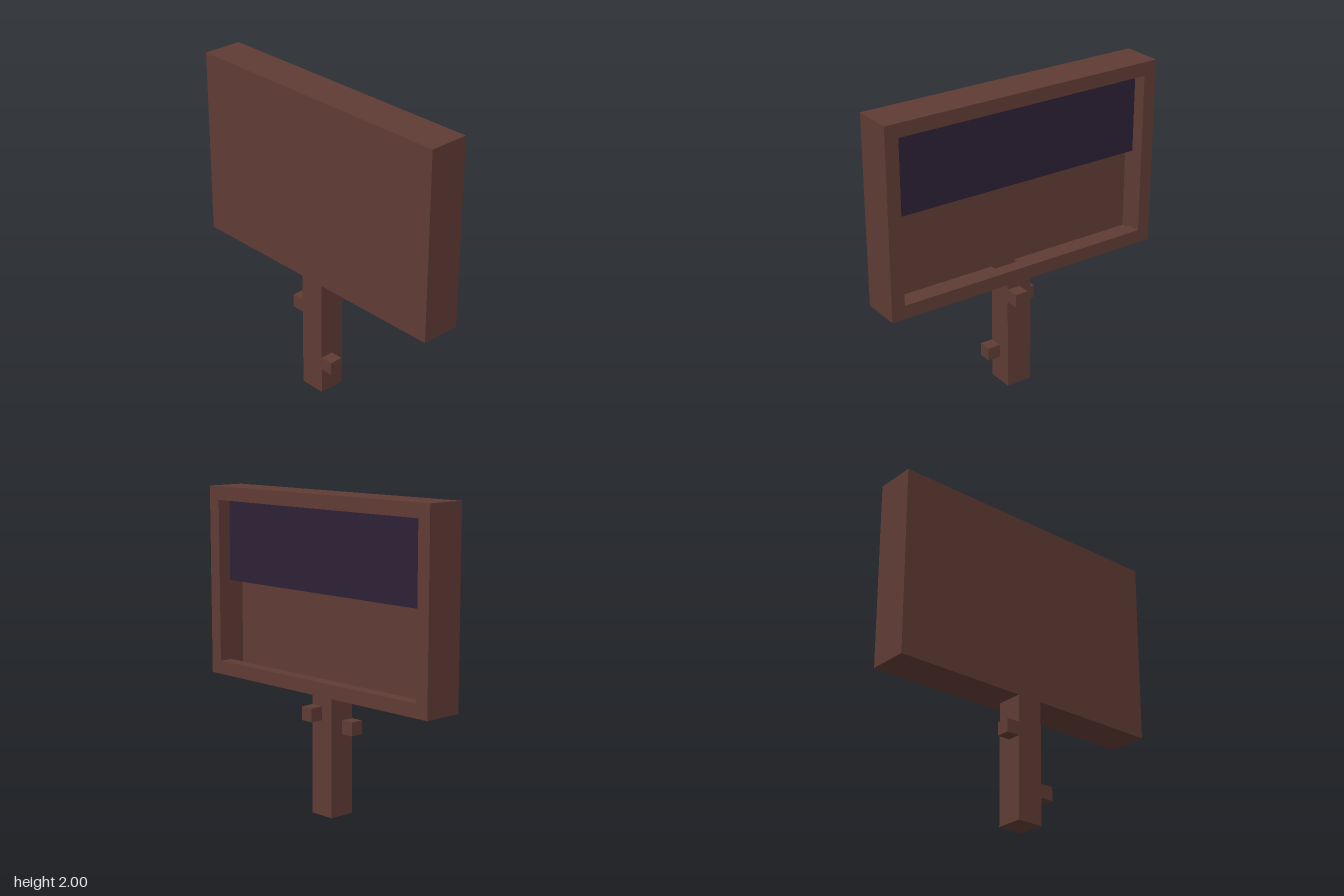
import * as THREE from 'three';

const U = 2 / 23; // one block; parts are laid out in blocks, x 0..3, y 0..23, z -11..11
const RIGHT = 0, BACK = 1, TOP = 2, BOTTOM = 3; // box faces: +x, -x, +y, -y

export function createModel() {
  const wood = new THREE.MeshStandardMaterial({ color: 0x5f3b34, side: THREE.DoubleSide });
  wood.name = 'brownWood';
  const dark = new THREE.MeshStandardMaterial({ color: 0x2d2135, side: THREE.DoubleSide });
  dark.name = 'darkPurple';

  const model = new THREE.Group();
  model.name = 'signboard';

  const add = (name, geometry, material) => {
    geometry.translate(-1.5, 0, 0).scale(U, U, U);
    const mesh = new THREE.Mesh(geometry, material);
    mesh.name = name;
    model.add(mesh);
  };

  // Box between two corners, leaving out the listed faces
  const box = ([x0, y0, z0], [x1, y1, z1], open = []) => {
    const g = new THREE.BoxGeometry(x1 - x0, y1 - y0, z1 - z0);
    g.translate((x0 + x1) / 2, (y0 + y1) / 2, (z0 + z1) / 2);
    const index = Array.from(g.index.array);
    g.setIndex(index.filter((_, i) => !open.includes(Math.floor(i / 6))));
    g.clearGroups();
    return g;
  };

  // Flat sheet with a rectangular hole; rectangles are [u0, v0, u1, v1]
  const rect = (Type, [u0, v0, u1, v1]) => new Type([
    new THREE.Vector2(u0, v0), new THREE.Vector2(u1, v0),
    new THREE.Vector2(u1, v1), new THREE.Vector2(u0, v1),
  ]);
  const sheet = (outer, hole) => {
    const shape = rect(THREE.Shape, outer);
    shape.holes.push(rect(THREE.Path, hole));
    return new THREE.ShapeGeometry(shape);
  };

  // Hollow board: back and outer walls, open towards +x
  add('boardShell', box([0, 9, -11], [3, 23, 11], [RIGHT, BOTTOM]), wood);
  // Board floor, open above the hollow post
  add('boardFloor', sheet([0, -11, 3, 11], [0.001, -1, 2, 1])
    .rotateX(Math.PI / 2).translate(0, 9, 0), wood);
  // Rim around the opening and its inner lip
  add('frontRim', sheet([-11, 9, 11, 23], [-10, 10, 10, 22])
    .rotateY(Math.PI / 2).translate(3, 0, 0), wood);
  add('innerLip', box([2, 10, -10], [3, 22, 10], [RIGHT, BACK]), wood);
  // Dark panel across the upper half of the opening
  add('darkPanel', new THREE.PlaneGeometry(20, 6)
    .rotateY(Math.PI / 2).translate(2, 19, 0), dark);

  // Hollow post
  add('post', box([0, 0, -1], [2, 9, 1], [TOP]), wood);

  // Small pegs on the post
  const pegs = { sidePeg: [2, 7, 0], rearPeg: [0, 6, -2], frontPeg: [0, 2, 1] };
  for (const [name, corner] of Object.entries(pegs)) {
    add(name, box(corner, corner.map((c) => c + 1)), wood);
  }

  return model;
}
